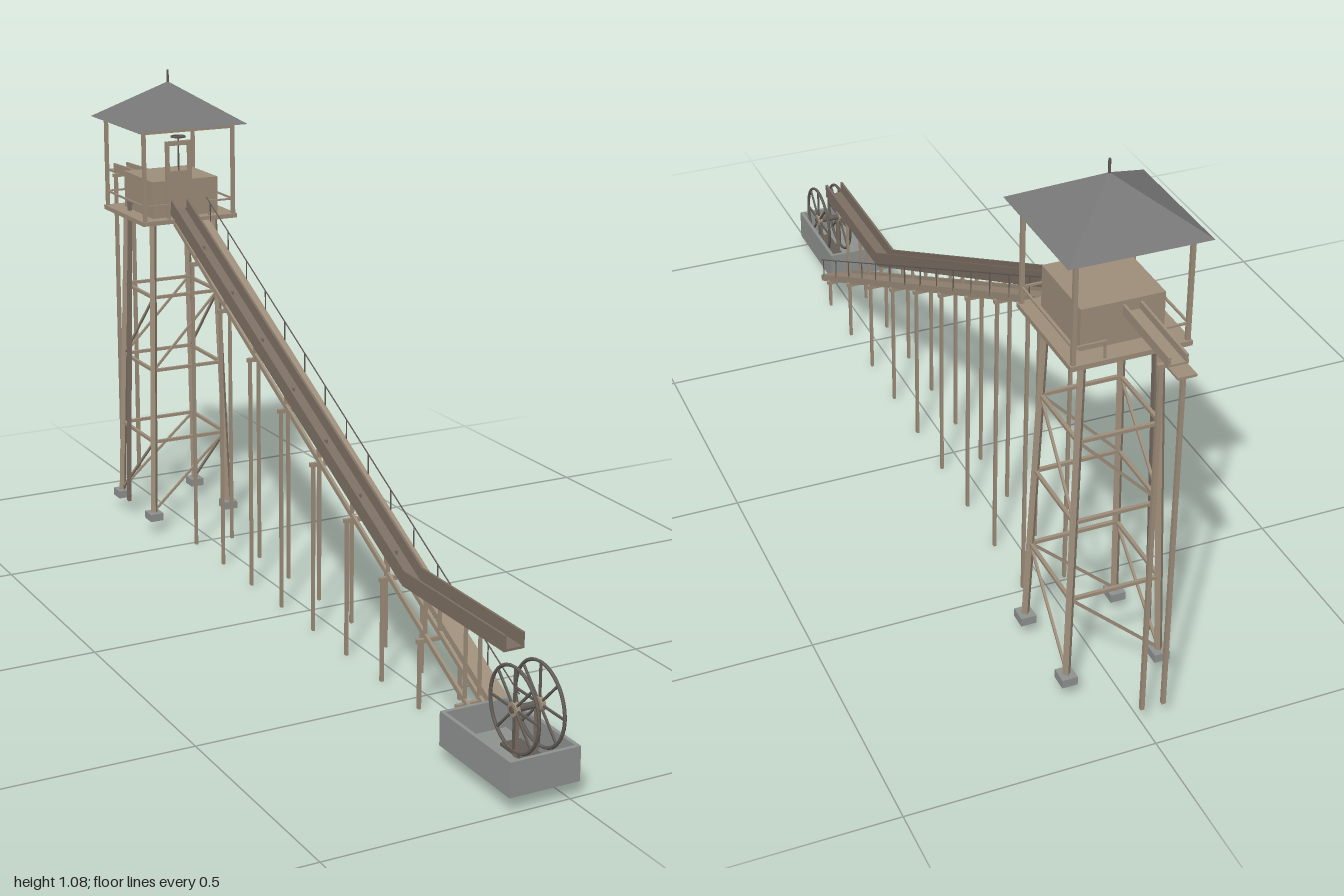
import * as THREE from 'three';

const mat = (color, extra = {}) => new THREE.MeshStandardMaterial({ color, flatShading: true, ...extra });
const wood = mat(0x9e8e7b), darkWood = mat(0x7c6f63), iron = mat(0x625c56), stone = mat(0x8e928f);
const roofMat = mat(0x777777, { side: THREE.DoubleSide });

const V = (x, y, z) => new THREE.Vector3(x, y, z);

export function createModel() {
  const model = new THREE.Group();

  const group = (name) => {
    const g = new THREE.Group();
    g.name = name;
    model.add(g);
    return g;
  };
  const box = (parent, name, min, max, material) => {
    const m = new THREE.Mesh(new THREE.BoxGeometry(...max.map((v, i) => v - min[i])), material);
    m.position.set(...max.map((v, i) => (v + min[i]) / 2));
    m.name = name;
    parent.add(m);
  };
  // Square timber running from a to b
  const beam = (parent, name, a, b, w, h, material = wood) => {
    const m = new THREE.Mesh(new THREE.BoxGeometry(w, h, a.distanceTo(b)), material);
    m.position.copy(a).add(b).multiplyScalar(0.5);
    m.lookAt(b);
    m.name = name;
    parent.add(m);
  };
  // Open U-shaped channel; a and b lie on the underside
  const trough = (parent, name, a, b, half, height, material) => {
    const cx = a.x, t = 0.005;
    const off = (p, x, y) => V(cx + x, p.y + y, p.z);
    beam(parent, name + 'Floor', off(a, 0, t / 2), off(b, 0, t / 2), half * 2, t, material);
    for (const s of [-1, 1])
      beam(parent, name + 'Wall', off(a, s * (half - t / 2), height / 2), off(b, s * (half - t / 2), height / 2), t, height, material);
  };

  const FX = -0.018, TZ = -0.714;                    // flume centre line, tower centre
  const walkY = (z) => 0.045 + (0.757 - z) * 0.513;  // walkway height
  const flumeY = (z) => 0.225 + Math.max(0, 0.47 - z) * 0.495;

  // Flume: level head and long sloping run
  const flume = group('flume');
  trough(flume, 'levelTrough', V(FX, 0.225, 0.835), V(FX, 0.225, 0.465), 0.022, 0.032, darkWood);
  trough(flume, 'slopingTrough', V(FX, 0.225, 0.47), V(FX, flumeY(-0.625), -0.625), 0.022, 0.032, darkWood);

  // Sloping walkway with stringers and handrail
  const walkway = group('walkway');
  const zLow = 0.757, zHigh = -0.61;
  const along = (x, dy) => [V(x, walkY(zLow) + dy, zLow), V(x, walkY(zHigh) + dy, zHigh)];
  beam(walkway, 'walkwayDeck', ...along(0.0285, 0.005), 0.039, 0.005);
  for (const x of [-0.034, -0.002, 0.012, 0.045]) beam(walkway, 'stringer', ...along(x, -0.003), 0.006, 0.011);
  beam(walkway, 'handrail', ...along(0.047, 0.05), 0.002, 0.002, iron);
  for (let i = 0; i < 15; i++) {
    const z = 0.74 - i * 0.095;
    beam(walkway, 'railPost', V(0.047, walkY(z), z), V(0.047, walkY(z) + 0.05, z), 0.002, 0.002, iron);
  }

  // Trestles
  const trestles = group('trestles');
  for (let i = 0; i < 9; i++) {
    const z = 0.695 - i * 0.148, y = walkY(z) - 0.008;
    for (const x of [-0.046, 0.046])
      box(trestles, 'trestlePost', [x - 0.003, 0, z - 0.004], [x + 0.003, y, z + 0.004], wood);
    box(trestles, 'trestleCap', [-0.053, y - 0.009, z - 0.004], [0.053, y, z + 0.004], wood);
    for (const x of [-0.034, -0.002])
      box(trestles, 'flumeProp', [x - 0.003, y, z - 0.003], [x + 0.003, flumeY(z), z + 0.003], wood);
    if (i > 1) box(flume, 'flumeCleat', [FX - 0.004, flumeY(z) + 0.004, z - 0.004], [FX + 0.004, flumeY(z) + 0.012, z + 0.004], darkWood);
  }

  // Tower: tapered legs and girts, with braces in alternate bays
  const tower = group('tower');
  const corners = [[-1, 1], [1, 1], [1, -1], [-1, -1]];
  const legAt = ([sx, sz], y) => {
    const r = 0.097 - 0.02 * (y - 0.04) / 0.7;
    return V(sx * r, y, TZ + sz * r);
  };
  const levels = [0.05, 0.22, 0.393, 0.567];
  corners.forEach((c, i) => {
    const next = corners[(i + 1) % 4], foot = legAt(c, 0.04);
    beam(tower, 'towerLeg', legAt(c, 0.04), legAt(c, 0.745), 0.012, 0.012);
    box(tower, 'footing', [foot.x - 0.016, 0.03, foot.z - 0.018], [foot.x + 0.016, 0.048, foot.z + 0.018], stone);
    for (const y of levels.slice(1)) beam(tower, 'girt', legAt(c, y), legAt(next, y), 0.007, 0.007);
    // Braces on opposite faces are parallel
    const [low, high] = i === 0 || i === 3 ? [c, next] : [next, c];
    for (const k of [0, 2]) beam(tower, 'brace', legAt(low, levels[k]), legAt(high, levels[k + 1]), 0.005, 0.005);
  });

  // Drain pipe leaning down the side of the tower from the tank
  const drain = group('drainPipe');
  const drainZ = -0.742;
  beam(drain, 'pipe', V(-0.109, 0.04, drainZ), V(-0.09, 0.775, drainZ), 0.012, 0.007, darkWood);
  box(drain, 'pipeElbow', [-0.094, 0.769, drainZ - 0.006], [-0.08, 0.777, drainZ + 0.006], darkWood);

  // Platform, railing and roof
  const platform = group('platform');
  box(platform, 'deck', [-0.118, 0.745, TZ - 0.118], [0.118, 0.755, TZ + 0.118], wood);
  for (const [sx, sz] of corners) {
    const x = sx * 0.111, z = TZ + sz * 0.111;
    box(platform, 'roofPost', [x - 0.004, 0.755, z - 0.004], [x + 0.004, 0.965, z + 0.004], wood);
    box(platform, 'endRail', [Math.min(x, sx * 0.05), 0.787, z - 0.002], [Math.max(x, sx * 0.05), 0.791, z + 0.002], wood);
    box(platform, 'endRailPost', [sx * 0.05 - 0.002, 0.755, z - 0.002], [sx * 0.05 + 0.002, 0.791, z + 0.002], wood);
  }
  for (const s of [-1, 1]) {
    box(platform, 'sideRail', [s * 0.111 - 0.002, 0.787, TZ - 0.111], [s * 0.111 + 0.002, 0.791, TZ + 0.111], wood);
    box(platform, 'sidePlate', [s * 0.111 - 0.004, 0.955, TZ - 0.115], [s * 0.111 + 0.004, 0.964, TZ + 0.115], wood);
    box(platform, 'endPlate', [-0.115, 0.955, TZ + s * 0.111 - 0.004], [0.115, 0.964, TZ + s * 0.111 + 0.004], wood);
  }
  const roof = new THREE.Mesh(new THREE.ConeGeometry(0.138 * Math.SQRT2, 0.09, 4).rotateY(Math.PI / 4), roofMat);
  roof.position.set(0, 1.01, TZ);
  roof.name = 'roof';
  platform.add(roof);
  box(platform, 'finial', [-0.002, 1.045, TZ - 0.002], [0.002, 1.082, TZ + 0.002], iron);

  // Water tank and lifting gate
  box(model, 'tank', [-0.082, 0.755, -0.79], [0.082, 0.84, -0.625], wood);
  const gate = group('gate');
  for (const x of [-0.046, 0.009]) box(gate, 'gatePost', [x - 0.004, 0.755, -0.624], [x + 0.004, 0.932, -0.615], wood);
  box(gate, 'gateHead', [-0.05, 0.922, -0.624], [0.013, 0.932, -0.615], wood);
  box(gate, 'gateBoard', [-0.041, 0.775, -0.622], [0.005, 0.863, -0.617], wood);
  box(gate, 'gateStem', [FX - 0.0015, 0.86, -0.621], [FX + 0.0015, 0.943, -0.618], iron);
  const handwheel = new THREE.Mesh(new THREE.TorusGeometry(0.016, 0.002, 6, 16).rotateX(Math.PI / 2), iron);
  handwheel.position.set(FX, 0.942, -0.6195);
  handwheel.name = 'handwheel';
  gate.add(handwheel);
  box(gate, 'handwheelBar', [FX - 0.016, 0.941, -0.621], [FX + 0.016, 0.943, -0.618], iron);

  // Inlet trough behind the tank with its bent
  const inlet = group('inlet');
  trough(inlet, 'inletTrough', V(FX, 0.812, -0.785), V(FX, 0.806, -0.965), 0.019, 0.02, wood);
  box(inlet, 'inletLip', [FX - 0.018, 0.802, -1], [FX + 0.018, 0.807, -0.95], wood);
  box(inlet, 'inletCap', [-0.047, 0.796, -0.949], [0.011, 0.804, -0.941], wood);
  for (const x of [-0.04, 0.004]) box(inlet, 'inletPost', [x - 0.004, 0.04, -0.949], [x + 0.004, 0.8, -0.941], wood);

  // Open basin with a dark sill under the wheel
  const basin = group('basin');
  box(basin, 'basinFloor', [-0.127, 0.03, 0.76], [0.02, 0.04, 1], stone);
  for (const x of [-0.127, 0.012]) box(basin, 'basinSide', [x, 0.04, 0.76], [x + 0.008, 0.098, 1], stone);
  for (const z of [0.76, 0.992]) box(basin, 'basinEnd', [-0.119, 0.04, z], [0.012, 0.098, z + 0.008], stone);
  box(basin, 'sill', [-0.04, 0.04, 0.83], [0.004, 0.046, 0.955], iron);

  // Twin-rimmed spoked wheel on its axle
  const wheel = group('wheel');
  wheel.position.set(FX, 0.134, 0.882);
  const axle = new THREE.Mesh(new THREE.CylinderGeometry(0.007, 0.007, 0.07, 10).rotateZ(Math.PI / 2), iron);
  axle.name = 'axle';
  wheel.add(axle);
  for (const x of [-0.027, 0.027]) {
    const rim = new THREE.Mesh(new THREE.TorusGeometry(0.081, 0.0035, 6, 32).rotateY(Math.PI / 2), iron);
    const hub = new THREE.Mesh(new THREE.CylinderGeometry(0.014, 0.014, 0.01, 12).rotateZ(Math.PI / 2), wood);
    rim.position.x = hub.position.x = x;
    rim.name = 'rim';
    hub.name = 'hub';
    wheel.add(rim, hub);
    for (let i = 0; i < 8; i++) {
      const spoke = new THREE.Mesh(new THREE.BoxGeometry(0.004, 0.08, 0.004).translate(0, 0.04, 0), iron);
      spoke.rotation.x = i * Math.PI / 4;
      spoke.position.x = x;
      spoke.name = 'spoke';
      wheel.add(spoke);
    }
    box(basin, 'wheelBearing', [FX + x * 0.8 - 0.003, 0.04, 0.877], [FX + x * 0.8 + 0.003, 0.134, 0.887], darkWood);
  }
  return model;
}
